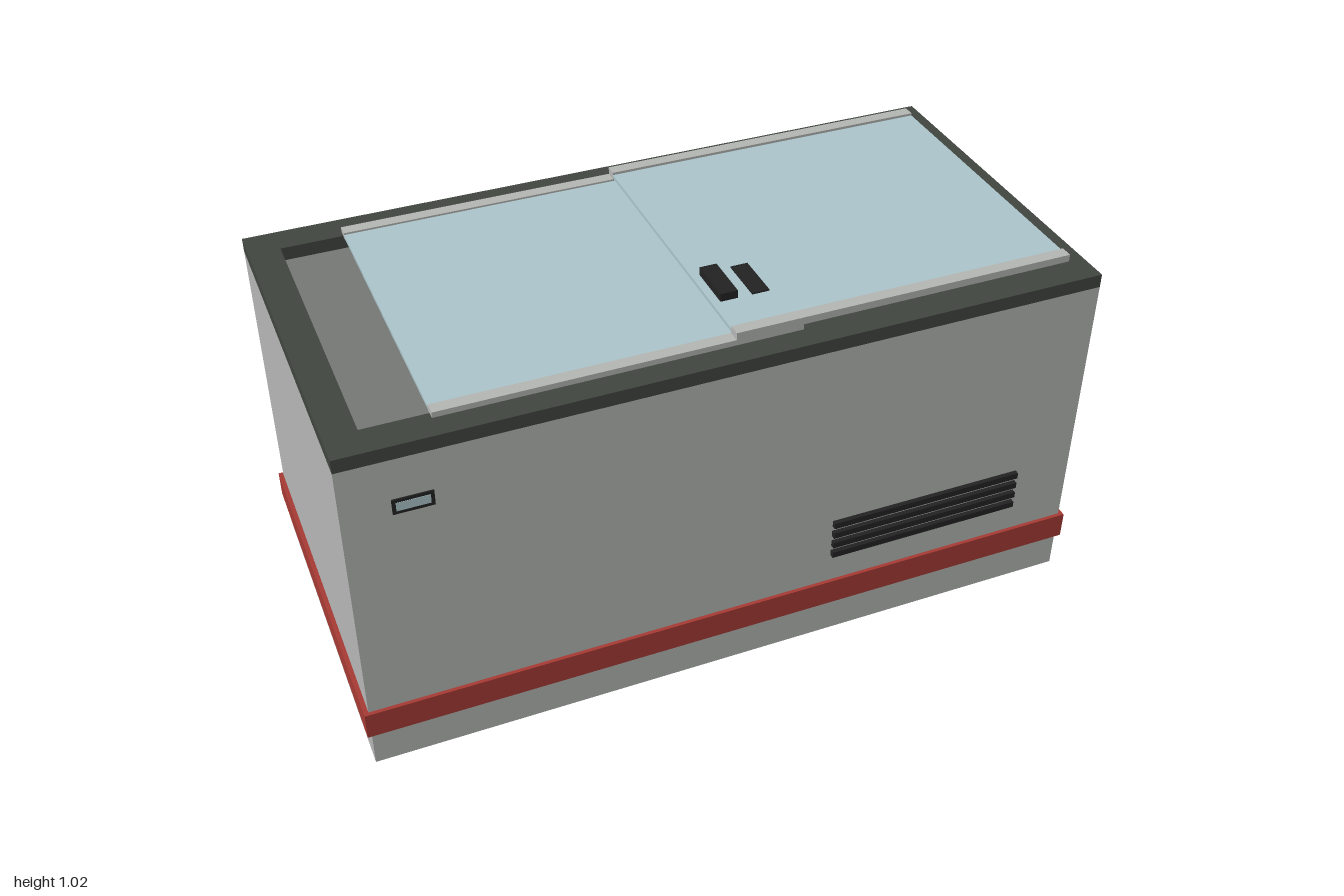
import * as THREE from 'three';

const paint = (name, color) => {
  const m = new THREE.MeshStandardMaterial({ color });
  m.name = name;
  return m;
};

export function createModel() {
  const grey = paint('grey enamel', 0xb3b5b3);
  const dark = paint('dark trim', 0x40453f);
  const red = paint('red bumper', 0xa53a33);
  const glass = paint('pale blue glass', 0xaac3c9);
  const black = paint('black plastic', 0x222222);

  const model = new THREE.Group();
  model.name = 'chestFreezer';

  // Box given by its extents on each axis
  const box = (parent, name, mat, [x0, x1], [y0, y1], [z0, z1]) => {
    const mesh = new THREE.Mesh(new THREE.BoxGeometry(x1 - x0, y1 - y0, z1 - z0), mat);
    mesh.position.set((x0 + x1) / 2, (y0 + y1) / 2, (z0 + z1) / 2);
    mesh.name = name;
    parent.add(mesh);
    return mesh;
  };

  // Rectangular ring standing between y0 and y1, given by half sizes
  const rect = (target, x, z) =>
    target.moveTo(-x, -z).lineTo(x, -z).lineTo(x, z).lineTo(-x, z).closePath();
  const ring = (name, mat, outX, outZ, inX, inZ, y0, y1) => {
    const shape = rect(new THREE.Shape(), outX, outZ);
    shape.holes.push(rect(new THREE.Path(), inX, inZ));
    const geo = new THREE.ExtrudeGeometry(shape, { depth: y1 - y0, bevelEnabled: false });
    geo.rotateX(-Math.PI / 2).translate(0, y0, 0);
    const mesh = new THREE.Mesh(geo, mat);
    mesh.name = name;
    model.add(mesh);
  };

  // Hollow cabinet, floor, top rim and bumper band
  const inX = 0.905, inZ = 0.41;
  ring('cabinetWalls', grey, 0.988, 0.495, inX, inZ, 0, 0.938);
  ring('topRim', dark, 0.988, 0.495, inX, inZ, 0.938, 0.975);
  ring('bumperBand', red, 1, 0.505, 0.985, 0.492, 0.105, 0.181);
  box(model, 'floor', dark, [-inX, inX], [0.001, 0.02], [-inZ, inZ]);

  // Two sliding lids: glass pane, side rails and a handle
  const lid = (name, [x0, x1], y, railHeight, handleX) => {
    const group = new THREE.Group();
    group.name = name;
    box(group, 'glassPane', glass, [x0, x1], [y + 0.003, y + 0.013], [-0.397, 0.397]);
    for (const s of [-1, 1]) {
      const z = [s * 0.397, s * 0.43].sort((a, b) => a - b);
      box(group, 'lidRail', grey, [x0, x1], [y, y + railHeight], z);
    }
    box(group, 'handle', black, [handleX - 0.023, handleX + 0.023], [y, y + 0.035], [0.152, 0.283]);
    model.add(group);
  };
  lid('lowerLid', [-0.74, 0.185], 0.972, 0.018, 0.138);
  lid('upperLid', [0.008, 0.93], 0.99, 0.02, 0.053);

  // Temperature display
  box(model, 'displayFrame', black, [-0.867, -0.767], [0.784, 0.826], [0.49, 0.499]);
  box(model, 'displayScreen', glass, [-0.858, -0.776], [0.793, 0.817], [0.492, 0.5]);

  // Ventilation slats
  for (let i = 0; i < 4; i++) {
    const y = 0.279 + i * 0.0335;
    box(model, 'ventSlat', black, [0.27, 0.82], [y - 0.009, y + 0.009], [0.494, 0.508]);
  }
  return model;
}
